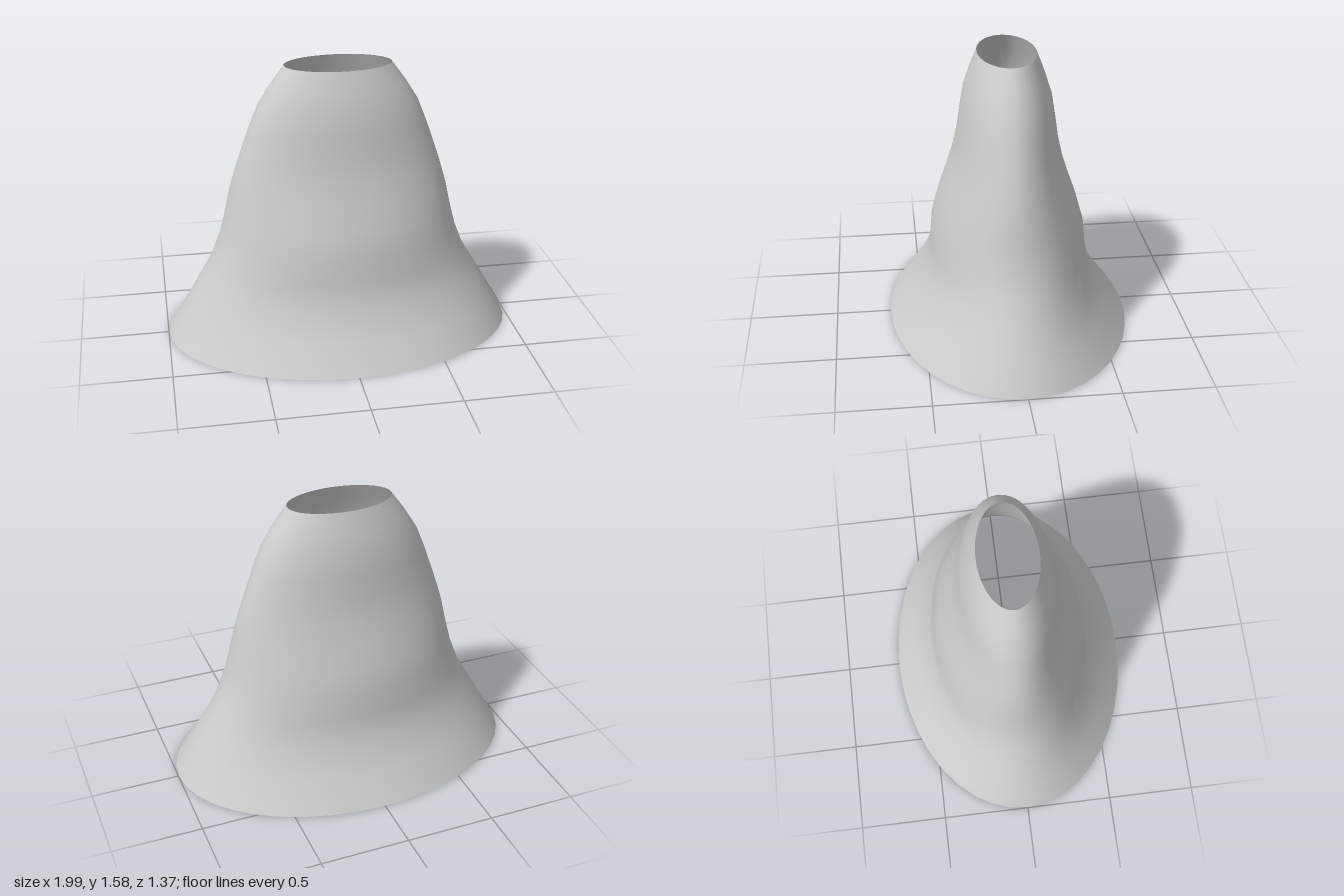
import * as THREE from 'three';

// Rings from bottom to top: height, half width (x), half depth (z)
const RINGS = [
  [0, 0.997, 0.687], [0.155, 0.908, 0.565], [0.31, 0.82, 0.473], [0.45, 0.738, 0.443],
  [0.59, 0.683, 0.431], [0.725, 0.649, 0.393], [0.86, 0.62, 0.345], [0.98, 0.585, 0.307],
  [1.1, 0.544, 0.28], [1.225, 0.5, 0.263], [1.35, 0.45, 0.243], [1.465, 0.378, 0.206],
  [1.575, 0.298, 0.164],
];

export function createModel() {
  const model = new THREE.Group();
  const last = RINGS.length - 1;

  // Open tube whose rings are reshaped into ellipses
  const geometry = new THREE.CylinderGeometry(1, 1, last, 40, last, true);
  const position = geometry.attributes.position;
  for (let i = 0; i < position.count; i++) {
    const [y, halfWidth, halfDepth] = RINGS[Math.round(position.getY(i) + last / 2)];
    position.setXYZ(i, position.getX(i) * halfWidth, y, position.getZ(i) * halfDepth);
  }
  geometry.computeVertexNormals();

  // Match the normals where the seam closes
  const normal = geometry.attributes.normal;
  const a = new THREE.Vector3(), b = new THREE.Vector3();
  for (let row = 0; row <= last; row++) {
    const start = row * 41, end = start + 40;
    a.fromBufferAttribute(normal, start).add(b.fromBufferAttribute(normal, end)).normalize();
    normal.setXYZ(start, a.x, a.y, a.z);
    normal.setXYZ(end, a.x, a.y, a.z);
  }

  const skirt = new THREE.Mesh(
    geometry,
    new THREE.MeshStandardMaterial({ color: 0xcccccc, side: THREE.DoubleSide }),
  );
  skirt.name = 'flaredSkirt';
  model.add(skirt);
  return model;
}
